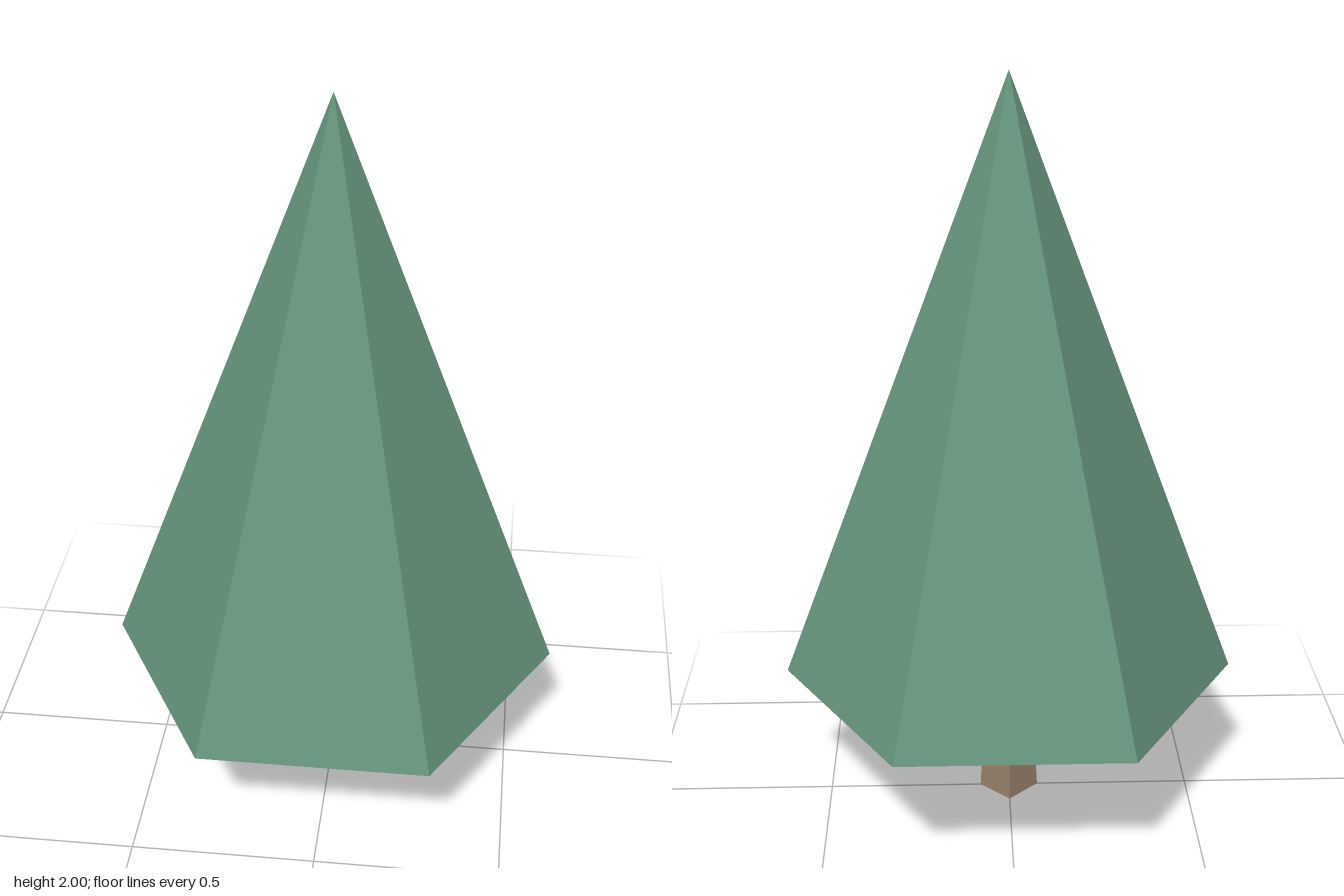
import * as THREE from 'three';

export function createModel() {
  const tree = new THREE.Group();
  tree.name = 'tree';

  const foliageGreen = new THREE.MeshStandardMaterial({ name: 'foliageGreen', color: 0x66957c });
  const barkBrown = new THREE.MeshStandardMaterial({ name: 'barkBrown', color: 0x98816a });
  foliageGreen.flatShading = true;
  barkBrown.flatShading = true;

  const baseY = 0.37; // underside of the foliage
  const topY = 2;

  // Four-sided tapered trunk, corners on the x and z axes
  const trunk = new THREE.Mesh(new THREE.CylinderGeometry(0.06, 0.08, baseY, 4), barkBrown);
  trunk.name = 'trunk';
  trunk.position.y = baseY / 2;
  tree.add(trunk);

  // Six-sided foliage cone, flat side to the front
  const height = topY - baseY;
  const foliage = new THREE.Mesh(
    new THREE.ConeGeometry(0.61, height, 6, 1, false, Math.PI / 6),
    foliageGreen
  );
  foliage.name = 'foliage';
  foliage.position.y = baseY + height / 2;
  tree.add(foliage);

  return tree;
}
